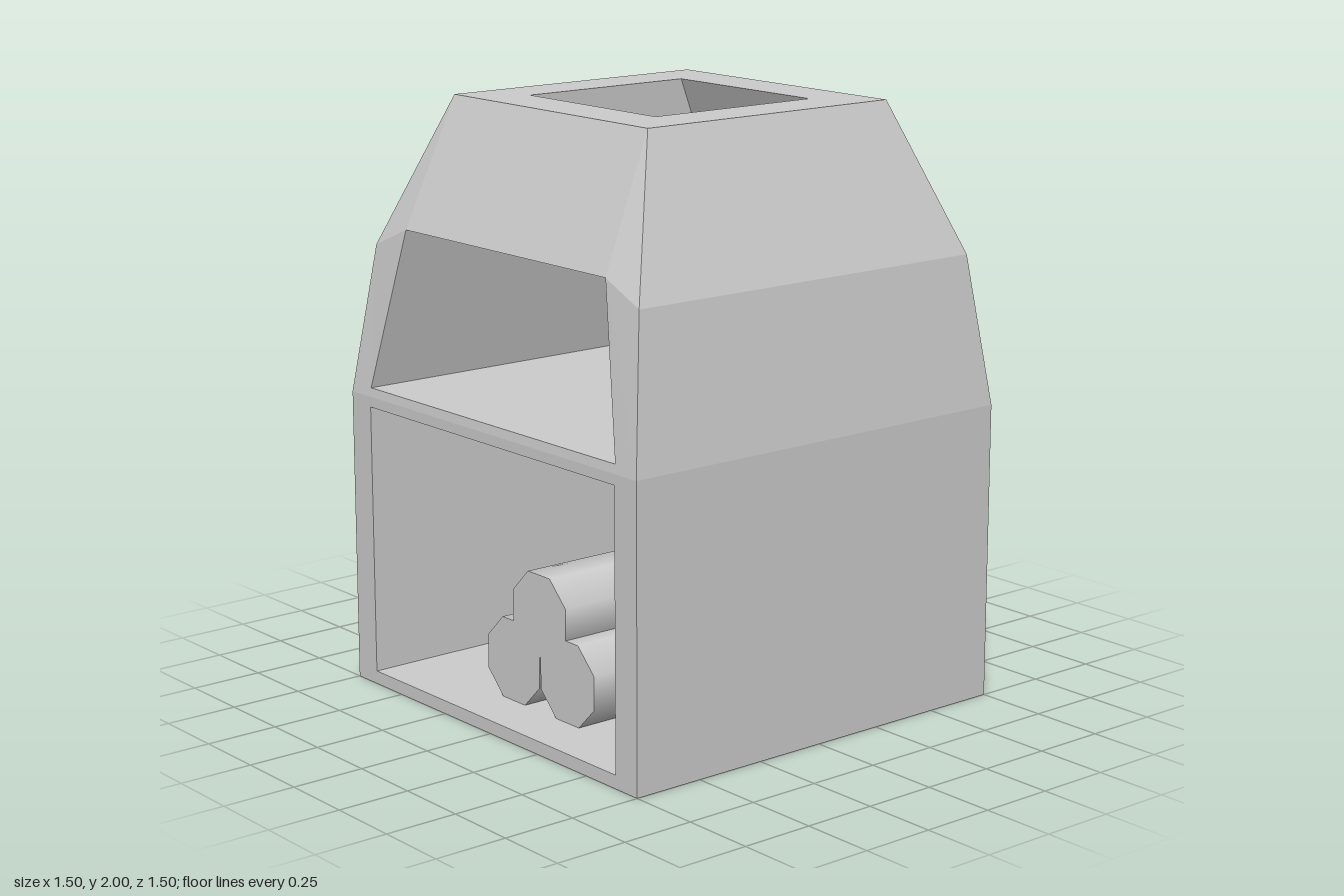
import * as THREE from 'three';

const material = new THREE.MeshStandardMaterial({ color: 0xcccccc, flatShading: true });
const logMaterial = new THREE.MeshStandardMaterial({ color: 0xcccccc });

function addMesh(parent, name, geometry, mat = material) {
  const mesh = new THREE.Mesh(geometry, mat);
  mesh.name = name;
  parent.add(mesh);
  return mesh;
}

// Firebox: square tube, open at front and back
function fireboxGeometry() {
  const rect = (Type, w, y0, y1) => new Type([
    new THREE.Vector2(-w, y0), new THREE.Vector2(w, y0),
    new THREE.Vector2(w, y1), new THREE.Vector2(-w, y1),
  ]);
  const shape = rect(THREE.Shape, 0.75, 0, 1);
  shape.holes.push(rect(THREE.Path, 0.645, 0.045, 0.965));
  return new THREE.ExtrudeGeometry(shape, { depth: 1.5, bevelEnabled: false }).translate(0, 0, -0.75);
}

// Hood: one quadrant of faces, mirrored across x and z.
// Suffix x / z / 0 moves a corner onto the x = 0 plane, the z = 0 plane or both.
function hoodGeometry() {
  const corners = {
    A: [0.75, 1, 0.75], B: [0.685, 1.5, 0.685], C: [0.495, 2, 0.495], // outer shell
    D: [0.32, 2, 0.32], E: [0.34, 1.57, 0.5],                          // flue
    F: [0.52, 1.57, 0.68], G: [0.645, 1.03, 0.746],                    // opening
  };
  const faces = [
    'A Az Bz B', 'B Bz Cz C',                        // outer side walls
    'A B F G', 'B C F', 'F C Cx Fx', 'Ax A G Gx',    // post, lintel, sill
    'C Cz Dz D', 'Cx C D Dx',                        // top rim
    'D Dz Ez E', 'Dx D E Ex',                        // flue walls
    'E Ez Fz F', 'Ex E F Fx',                        // ceiling
    'F Fz Gz G', 'Gx G Gz G0',                       // inner wall, shelf
  ];
  const point = (key, sx, sz) => {
    const [x, y, z] = corners[key[0]];
    const s = key[1];
    return [s === 'x' || s === '0' ? 0 : x * sx, y, s === 'z' || s === '0' ? 0 : z * sz];
  };
  const positions = [];
  for (const sx of [1, -1]) for (const sz of [1, -1]) for (const face of faces) {
    const loop = face.split(' ').map((key) => point(key, sx, sz));
    if (sx * sz < 0) loop.reverse();
    for (let i = 1; i < loop.length - 1; i++) positions.push(...loop[0], ...loop[i], ...loop[i + 1]);
  }
  const geometry = new THREE.BufferGeometry();
  geometry.setAttribute('position', new THREE.Float32BufferAttribute(positions, 3));
  geometry.computeVertexNormals();
  return geometry;
}

export function createModel() {
  const model = new THREE.Group();
  model.name = 'fireplace';
  addMesh(model, 'firebox', fireboxGeometry());
  addMesh(model, 'hood', hoodGeometry());

  // Stack of three eight-sided logs
  const logs = new THREE.Group();
  logs.name = 'logStack';
  model.add(logs);
  const radius = 0.139 / Math.cos(Math.PI / 8);
  const logGeometry = new THREE.CylinderGeometry(radius, radius, 0.98, 8)
    .rotateY(Math.PI / 8).rotateX(Math.PI / 2);
  [['leftLog', 0.18, 0.182], ['rightLog', -0.105, 0.182], ['topLog', 0.035, 0.37]].forEach(([name, x, y]) => {
    addMesh(logs, name, logGeometry, logMaterial).position.set(x, y, 0.085);
  });
  return model;
}
